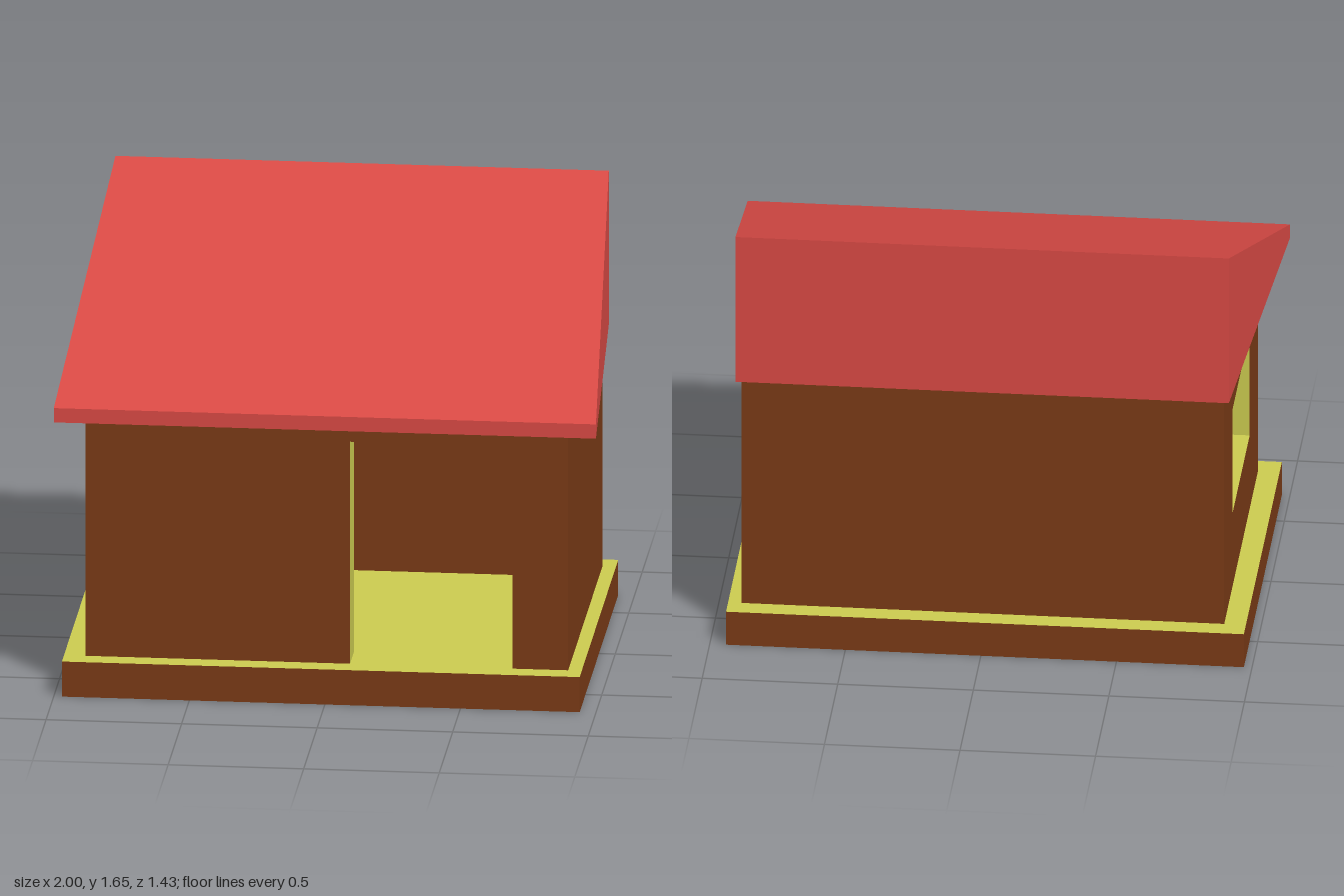
import * as THREE from 'three';

const brown = new THREE.MeshStandardMaterial({ color: 0x7a3a16 });
const yellow = new THREE.MeshStandardMaterial({ color: 0xcccc50 });
const red = new THREE.MeshStandardMaterial({ color: 0xd94a45 });

// Box between two corners; faces listed in trim (+x -x +y -y +z -z) are yellow
const SIDES = ['+x', '-x', '+y', '-y', '+z', '-z'];
function block(name, [x0, x1], [y0, y1], [z0, z1], trim = []) {
  const mesh = new THREE.Mesh(
    new THREE.BoxGeometry(x1 - x0, y1 - y0, z1 - z0),
    SIDES.map((s) => (trim.includes(s) ? yellow : brown))
  );
  mesh.position.set((x0 + x1) / 2, (y0 + y1) / 2, (z0 + z1) / 2);
  mesh.name = name;
  return mesh;
}

function group(name, ...parts) {
  const g = new THREE.Group();
  g.name = name;
  g.add(...parts);
  return g;
}

// Lean-to roof: a box tapered and lowered from back to front, brown underneath
function makeRoof(eaves) {
  const geometry = new THREE.BoxGeometry(2, 1, 2);
  const p = geometry.attributes.position;
  for (let i = 0; i < p.count; i++) {
    const front = p.getZ(i) > 0;
    const top = p.getY(i) > 0;
    p.setXYZ(
      i,
      p.getX(i) * (front ? 1 : 0.91),
      top ? (front ? 1.11 : 1.648) : eaves,
      front ? 0.715 : -0.667
    );
  }
  geometry.computeVertexNormals();
  const roof = new THREE.Mesh(geometry, [red, red, red, brown, red, red]);
  roof.name = 'roof';
  return roof;
}

export function createModel() {
  const floor = 0.135, eaves = 1.055;
  const X = 0.89, Z = 0.637;     // outer wall faces
  const xi = 0.818, zi = 0.495;  // inner wall faces
  const full = [floor, eaves];

  const base = block('base', [-0.97, 0.94], [0, floor], [-0.715, 0.715], ['+y']);

  // Front wall around the doorway
  const [d0, d1, doorTop] = [0.085, 0.685, 0.99];
  const frontWall = group('frontWall',
    block('frontWallRight', [-X, d0], full, [zi, Z], ['+x']),
    block('frontWallLeft', [d1, X], full, [zi, Z], ['-x']),
    block('doorLintel', [d0, d1], [doorTop, eaves], [zi, Z], ['-y'])
  );

  // Right wall around the window
  const w = 0.32, sill = 0.435, head = 0.86;
  const rightWall = group('rightWall',
    block('windowSillWall', [-X, -xi], [floor, sill], [-w, w], ['+y']),
    block('windowHeadWall', [-X, -xi], [head, eaves], [-w, w], ['-y']),
    block('windowFrontWall', [-X, -xi], full, [w, zi], ['-z']),
    block('windowBackWall', [-X, -xi], full, [-zi, -w], ['+z'])
  );

  const backWall = block('backWall', [-X, X], full, [-Z, -zi]);
  const leftWall = block('leftWall', [xi, X], full, [-zi, zi]);

  return group('house', base, frontWall, rightWall, backWall, leftWall, makeRoof(eaves));
}
